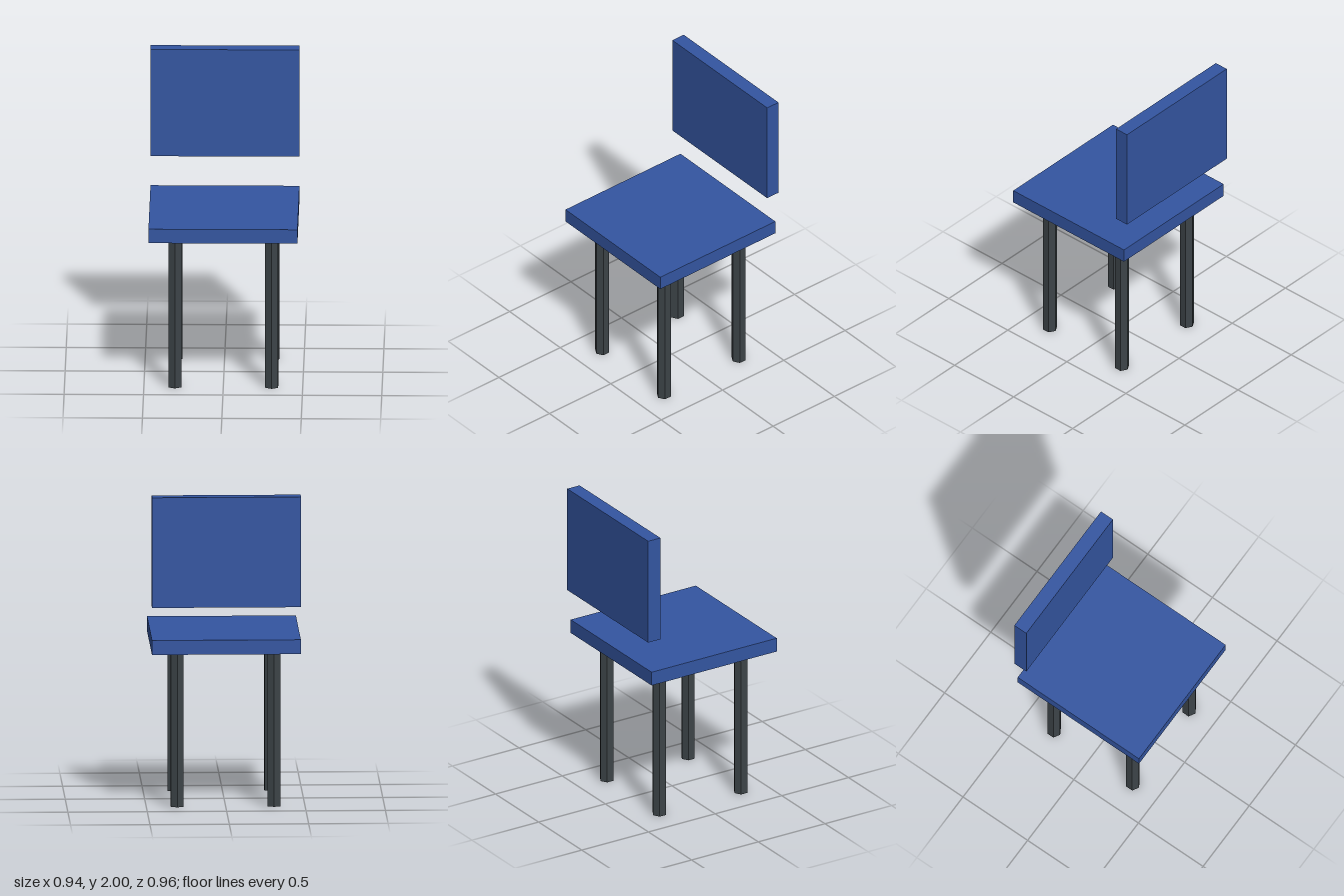
import * as THREE from 'three';

const blue = new THREE.MeshStandardMaterial({ color: 0x3456a2 });
blue.name = 'blue panel';
const charcoal = new THREE.MeshStandardMaterial({ color: 0x3d4448, flatShading: true });
charcoal.name = 'charcoal leg';

const WIDTH = 0.938;      // seat is square, the backrest equally wide
const THICK = 0.092;
const SEAT_BOTTOM = 0.993;
const SEAT_Z = 0.013;
const LEG_OFFSET = 0.305;
const BACK_HEIGHT = 0.703;

function addMesh(group, name, geometry, material, x, y, z) {
  const mesh = new THREE.Mesh(geometry, material);
  mesh.name = name;
  mesh.position.set(x, y, z);
  group.add(mesh);
}

export function createModel() {
  const chair = new THREE.Group();
  chair.name = 'chair';

  // Seat slab
  addMesh(chair, 'seat', new THREE.BoxGeometry(WIDTH, THICK, WIDTH), blue,
    0, SEAT_BOTTOM + THICK / 2, SEAT_Z);

  // Backrest panel, floating above the rear edge of the seat
  addMesh(chair, 'backrest', new THREE.BoxGeometry(WIDTH, BACK_HEIGHT, THICK), blue,
    0, 2 - BACK_HEIGHT / 2, -0.482 + THICK / 2);

  // Four hexagonal legs, each with a corner facing forward
  const legGeometry = new THREE.CylinderGeometry(0.047, 0.047, SEAT_BOTTOM, 6);
  for (const [side, sx] of [['Left', 1], ['Right', -1]]) {
    for (const [end, sz] of [['front', 1], ['back', -1]]) {
      addMesh(chair, `${end}${side}Leg`, legGeometry, charcoal,
        sx * LEG_OFFSET, SEAT_BOTTOM / 2, SEAT_Z + sz * LEG_OFFSET);
    }
  }

  return chair;
}
